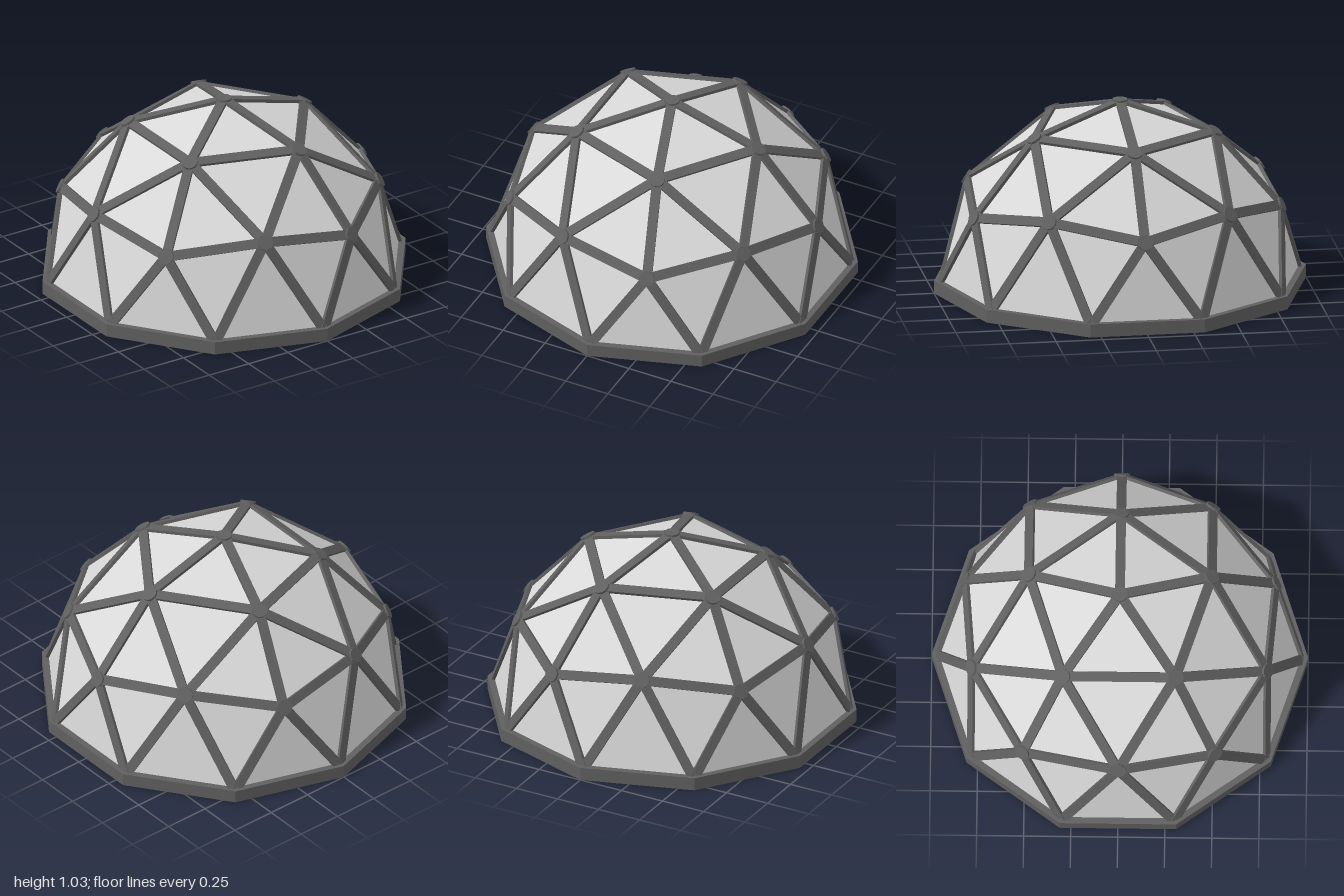
import * as THREE from 'three';

const CENTER_Y = 0.053;   // height of the sphere centre
const R = 0.98;           // outer radius at the nodes
const STRUT_W = 0.052;
const STRUT_D = 0.04;

// Unit directions of the nodes of a two-frequency icosahedral hemisphere
function domeNodes() {
  const polar = (theta, phi) => new THREE.Vector3(
    Math.sin(theta) * Math.cos(phi), Math.cos(theta), Math.sin(theta) * Math.sin(phi));
  const step = Math.PI / 5;
  const vertexAngle = Math.atan(2);
  const nodes = [new THREE.Vector3(0, 1, 0)];
  for (let i = 0; i < 5; i++) nodes.push(polar(vertexAngle / 2, i * 2 * step));
  for (let i = 0; i < 10; i++) nodes.push(polar(i % 2 ? 1.01722 : vertexAngle, i * step));
  for (let i = 0; i < 10; i++) nodes.push(polar(Math.PI / 2, (i + 0.5) * step));
  return nodes;
}

export function createModel() {
  const frameMat = new THREE.MeshStandardMaterial({ color: 0x606060, flatShading: true });
  frameMat.name = 'dark grey frame';
  const panelMat = new THREE.MeshStandardMaterial({
    color: 0xd9d9d9, flatShading: true, side: THREE.DoubleSide });
  panelMat.name = 'light grey panel';

  const model = new THREE.Group();
  model.name = 'geodesicDome';
  const shell = new THREE.Group();
  shell.name = 'domeShell';
  shell.position.y = CENTER_Y;
  model.add(shell);

  const nodes = domeNodes();
  const linked = (a, b) => nodes[a].distanceTo(nodes[b]) < 0.7;
  const isBase = (i) => nodes[i].y < 0.01;

  // Struts: a box along each chord, its flat side facing outward
  const addStrut = (a, b) => {
    const along = b.clone().sub(a);
    const length = along.length() * R;
    along.normalize();
    const out = a.clone().add(b).normalize();
    const side = new THREE.Vector3().crossVectors(along, out);
    const strut = new THREE.Mesh(new THREE.BoxGeometry(STRUT_W, length, STRUT_D), frameMat);
    strut.name = 'strut';
    strut.quaternion.setFromRotationMatrix(new THREE.Matrix4().makeBasis(side, along, out));
    strut.position.copy(a).add(b).multiplyScalar(R / 2).addScaledVector(out, -STRUT_D / 2);
    shell.add(strut);
  };

  // Panels: one triangle for every three linked nodes, set just below the strut faces
  const corners = [];
  const addPanel = (a, b, c) => {
    const normal = b.clone().sub(a).cross(c.clone().sub(a));
    const order = normal.dot(a) > 0 ? [a, b, c] : [a, c, b];
    for (const p of order) corners.push(p.clone().multiplyScalar(R - 0.013));
  };

  for (let i = 0; i < nodes.length; i++) {
    for (let j = i + 1; j < nodes.length; j++) {
      if (!linked(i, j)) continue;
      if (!(isBase(i) && isBase(j))) addStrut(nodes[i], nodes[j]);
      for (let k = j + 1; k < nodes.length; k++) {
        if (linked(i, k) && linked(j, k)) addPanel(nodes[i], nodes[j], nodes[k]);
      }
    }
  }
  const panelGeo = new THREE.BufferGeometry().setFromPoints(corners);
  panelGeo.computeVertexNormals();
  const panels = new THREE.Mesh(panelGeo, panelMat);
  panels.name = 'panels';
  shell.add(panels);

  // Hubs: small discs where the struts meet
  const hubGeo = new THREE.CylinderGeometry(0.042, 0.042, 0.05, 12);
  const up = new THREE.Vector3(0, 1, 0);
  nodes.forEach((n, i) => {
    if (isBase(i)) return;
    const hub = new THREE.Mesh(hubGeo, frameMat);
    hub.name = 'hub';
    hub.quaternion.setFromUnitVectors(up, n);
    hub.position.copy(n).multiplyScalar(R - 0.025);
    shell.add(hub);
  });

  // Ten-sided base ring
  const profile = [[0.955, 0], [1, 0], [1, 0.072], [0.955, 0.072], [0.955, 0]]
    .map(([r, y]) => new THREE.Vector2(r, y));
  const ring = new THREE.Mesh(new THREE.LatheGeometry(profile, 10), frameMat);
  ring.name = 'baseRing';
  model.add(ring);

  return model;
}
